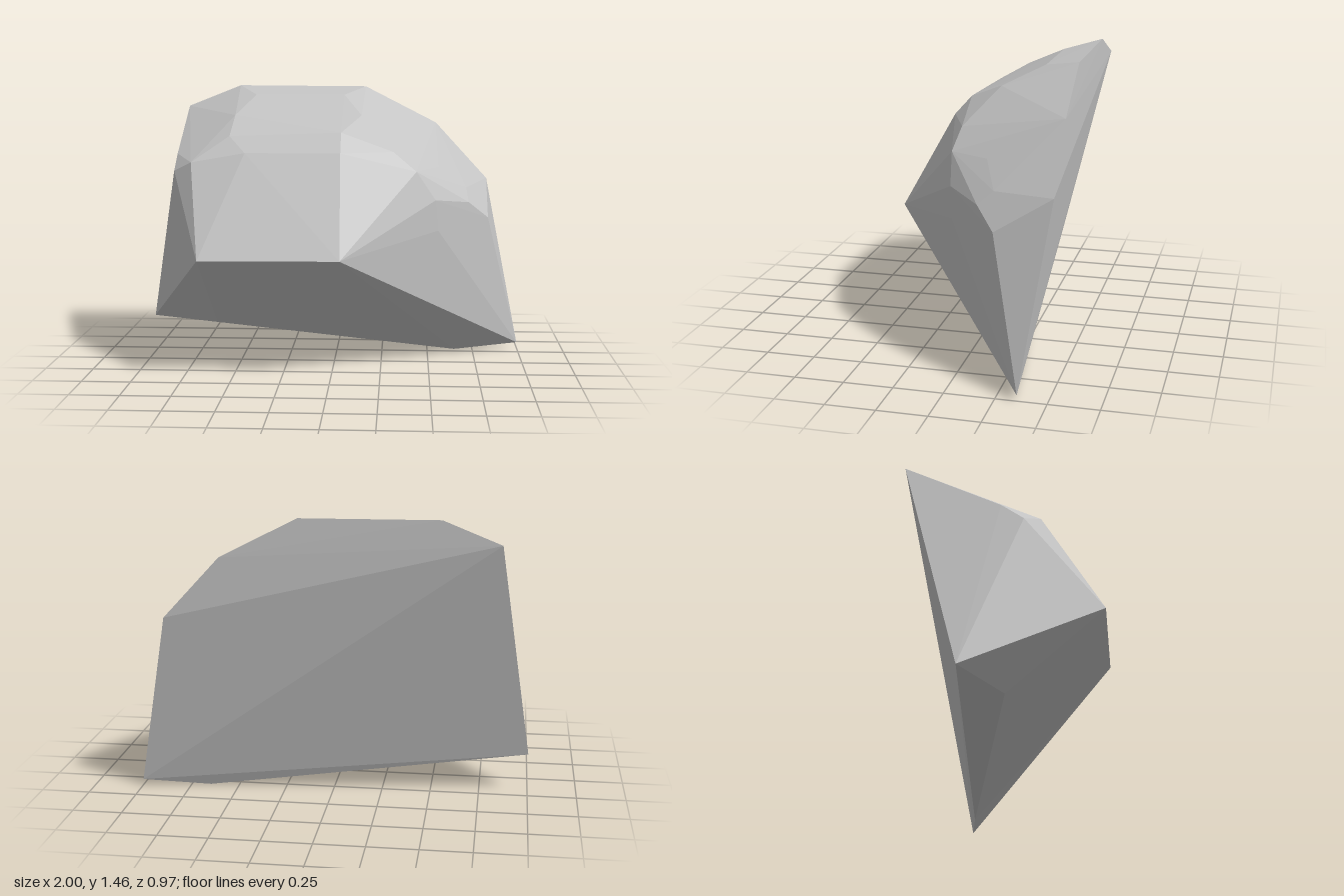
import * as THREE from 'three';
import { ConvexGeometry } from 'three/addons/geometries/ConvexGeometry.js';

export function createModel() {
  const group = new THREE.Group();
  group.name = 'rock';
  const stone = new THREE.MeshStandardMaterial({ color: 0xc4c4c4 });
  stone.name = 'pale grey stone';

  // Corners of the faceted boulder, grouped by region
  const underside = [[-1, 0.2, -0.18], [1, 0.03, -0.355], [0.65, 0, -0.3], [-0.63, 0.205, 0]];
  const frontEdge = [[-0.66, 0.615, 0.485], [0.05, 0.62, 0.485]];
  const backRim = [
    [-0.84, 1.34, -0.475], [-0.55, 1.455, -0.47], [0.15, 1.45, -0.47],
    [0.54, 1.25, -0.48], [0.825, 0.94, -0.485],
  ];
  const crown = [
    [-0.44, 1.41, -0.28], [0.04, 1.41, -0.28], [-0.53, 1.31, -0.07], [0.14, 1.31, -0.07],
    [-0.54, 1.21, 0.1], [0.04, 1.23, 0.11], [-0.45, 1.13, 0.2], [0.04, 1.13, 0.2],
  ];
  const leftShoulder = [
    [0.33, 1.27, -0.28], [0.4, 1.19, -0.2], [0.31, 1.13, 0.09], [0.6, 1.09, -0.33],
    [0.55, 1.035, -0.1], [0.43, 1.03, 0.11], [0.3, 0.96, 0.165], [0.7, 0.92, -0.17],
    [0.53, 0.88, 0.09], [0.71, 0.85, -0.09], [0.82, 0.755, -0.195], [0.545, 0.72, 0.08],
  ];
  const rightShoulder = [[-0.83, 1.03, 0.11], [-0.83, 1.11, 0], [-0.73, 1.08, 0.185]];

  // Flat facets stretched over all the corners
  const points = [underside, frontEdge, backRim, crown, leftShoulder, rightShoulder]
    .flat().map((p) => new THREE.Vector3(...p));
  const boulder = new THREE.Mesh(new ConvexGeometry(points), stone);
  boulder.name = 'boulder';
  group.add(boulder);
  return group;
}
